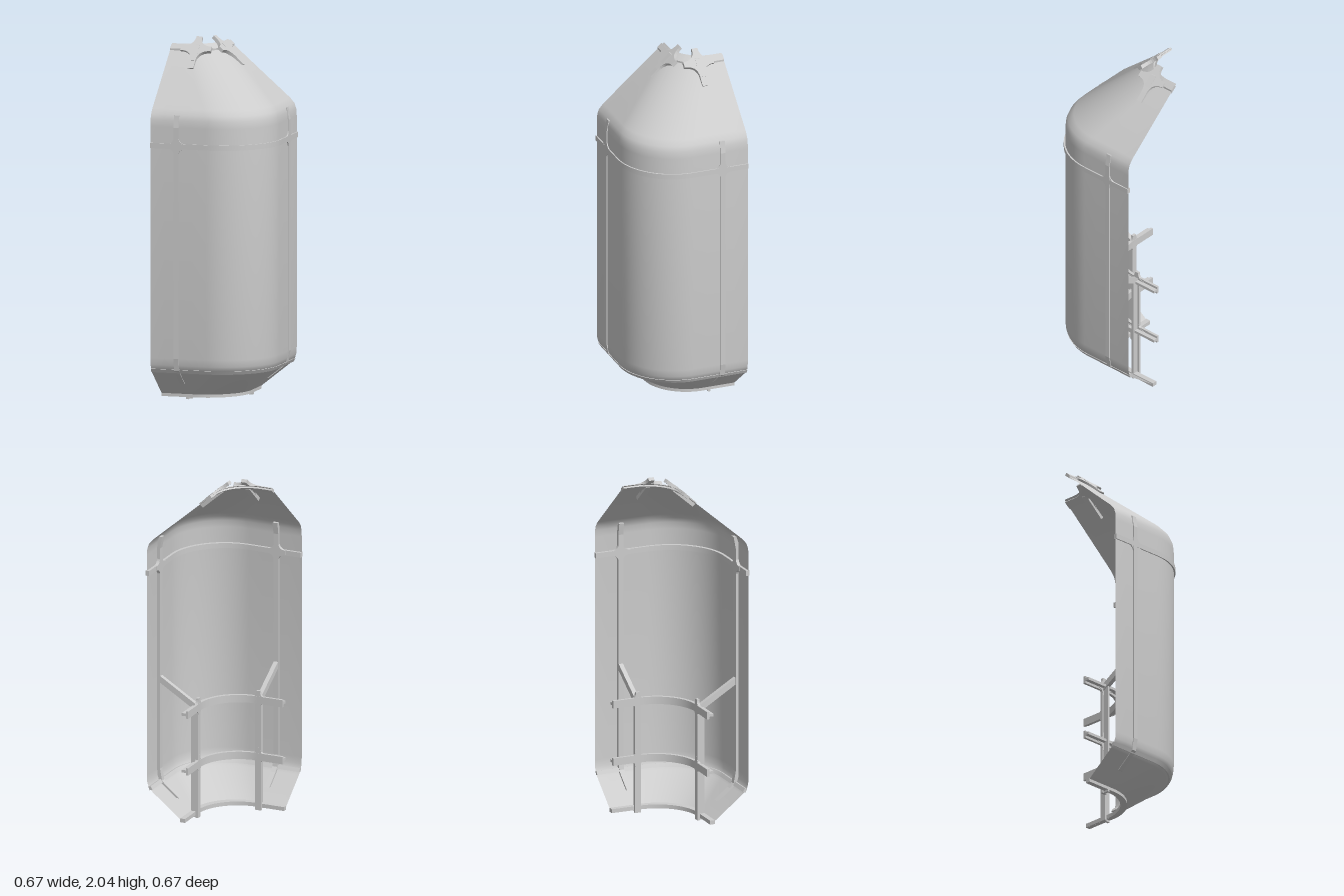
import * as THREE from 'three';
import { toCreasedNormals } from 'three/addons/utils/BufferGeometryUtils.js';

const E = 0.333; // half the plan size
const DEPTH = 0.415; // largest inset, reached at the top edge
const metal = new THREE.MeshStandardMaterial({ color: 0xcccccc, side: THREE.DoubleSide });

// Plan outline of the corner at inset d: leg, quarter arc, leg
function outline(d) {
  const c = -0.27 * d / DEPTH, r = E - d - c, pts = [];
  for (let i = 0; i < 4; i++) pts.push([E - d, -E + (c + E) * i / 4]);
  for (let i = 0; i <= 32; i++) {
    const a = i / 32 * Math.PI / 2;
    pts.push([c + r * Math.cos(a), c + r * Math.sin(a)]);
  }
  for (let i = 3; i >= 0; i--) pts.push([-E + (c + E) * i / 4, E - d]);
  return pts;
}

// Sweep a profile of [inset, y] points round the corner
function sweep(profile, closed, crease) {
  const rows = profile.map(([d]) => outline(d));
  const n = profile.length, m = rows[0].length, pos = [], idx = [];
  for (let i = 0; i < m; i++)
    for (let j = 0; j < n; j++) pos.push(rows[j][i][0], profile[j][1], rows[j][i][1]);
  for (let i = 0; i < m - 1; i++)
    for (let j = 0; j < (closed ? n : n - 1); j++) {
      const a = i * n + j, b = i * n + (j + 1) % n;
      idx.push(a, b, a + n, b, b + n, a + n);
    }
  if (closed) {
    const caps = THREE.ShapeUtils.triangulateShape(profile.map(([x, y]) => new THREE.Vector2(x, y)), []);
    const last = (m - 1) * n;
    for (const [a, b, c] of caps) idx.push(a, b, c, last + a, last + c, last + b);
  }
  const g = new THREE.BufferGeometry();
  g.setAttribute('position', new THREE.Float32BufferAttribute(pos, 3));
  g.setIndex(idx);
  return toCreasedNormals(g, crease);
}

// Outline in x and y, extruded evenly about z = 0
function plate(points, width) {
  const shape = new THREE.Shape(points.map(([x, y]) => new THREE.Vector2(x, y)));
  const g = new THREE.ExtrudeGeometry(shape, { depth: width, bevelEnabled: false });
  return g.translate(0, 0, -width / 2);
}

// Strip following a [inset, y] path, offset outwards and inwards
function strip(path, out, inn, width) {
  const side = (o) => path.map(([d, y]) => [E - d + o, y]);
  return plate([...side(out), ...side(-inn).reverse()], width);
}

// Four-armed plate with curved fillets, facing x
function cross(size, half, thick) {
  const s = new THREE.Shape();
  s.moveTo(size, half);
  for (const [x, y] of [[0, 1], [-1, 0], [0, -1], [1, 0]]) {
    const px = y, py = -x; // previous arm direction
    s.quadraticCurveTo((x + px) * half, (y + py) * half, x * size + px * half, y * size + py * half);
    s.lineTo(x * size - px * half, y * size - py * half);
  }
  s.closePath();
  const g = new THREE.ExtrudeGeometry(s, { depth: thick, bevelEnabled: false, curveSegments: 8 });
  return g.translate(0, 0, -thick / 2).rotateY(Math.PI / 2);
}

export function createModel() {
  const model = new THREE.Group();
  const add = (parent, name, geometry, x = 0, y = 0, z = 0) => {
    const mesh = new THREE.Mesh(geometry, metal);
    mesh.name = name;
    mesh.position.set(x, y, z);
    parent.add(mesh);
    return mesh;
  };

  // Thin curved wall with sloping foot and roof
  const wall = [
    [0.24, 0.01], [0.045, 0.165], [0.02, 0.19], [0.01, 0.22], [0.007, 0.26],
    [0.007, 1.58], [0.01, 1.62], [0.02, 1.65], [0.045, 1.68], [DEPTH, 2.0],
  ];
  add(model, 'wallShell', sweep(wall, false, 1));

  // Horizontal band round the wall, and the rail along the roof edge
  const box = (d0, d1, y0, y1) => [[d0, y0], [d0, y1], [d1, y1], [d1, y0]];
  add(model, 'wallBand', sweep(box(0, 0.022, 1.458, 1.488), true, 0.6));
  add(model, 'footCrease', sweep([[0.025, 0.175], [0.015, 0.195], [0.03, 0.2], [0.042, 0.18]], true, 0.6));
  add(model, 'roofEdgeRail', sweep([[0.375, 1.955], [0.375, 1.976], [0.4, 1.998], [0.412, 1.985]], true, 0.6));

  // T-section rails of the inner frame
  for (const y of [0.32, 0.66]) {
    add(model, 'innerRail', sweep([
      [0.225, y - 0.008], [0.225, y + 0.008], [0.25, y + 0.008], [0.25, y + 0.022],
      [0.265, y + 0.022], [0.265, y - 0.022], [0.25, y - 0.022], [0.25, y - 0.008],
    ], true, 0.6));
  }
  add(model, 'footRail', sweep(box(0.215, 0.245, 0.012, 0.035), true, 0.6));

  // Ribs and frame members, repeated on both legs
  for (const leg of [0, 1]) {
    const frame = new THREE.Group();
    frame.name = leg ? 'frontLegFrame' : 'sideLegFrame';
    frame.position.set(leg ? -0.18 : 0, 0, leg ? 0 : -0.18);
    frame.rotation.y = leg ? -Math.PI / 2 : 0;
    model.add(frame);

    add(frame, 'wallRib', strip([
      [0.127, 0.1], [0.045, 0.165], [0.02, 0.19], [0.007, 0.26], [0.007, 1.58], [0.02, 1.65],
    ], 0.007, 0.018, 0.03));
    add(frame, 'wallJoint', cross(0.06, 0.013, 0.024), 0.32, 1.473);

    // Strut and joint lying on the roof slope
    add(frame, 'roofStrut', plate([[-0.08, 1.97], [-0.08, 2], [-0.06, 2], [0.065, 1.885], [0.04, 1.865]], 0.035));
    const joint = add(frame, 'roofJoint', cross(0.09, 0.017, 0.02), -0.05, 1.975);
    joint.rotation.z = 0.86;

    // T-section post standing on the foot edge, tied back by a brace
    add(frame, 'postWeb', new THREE.BoxGeometry(0.035, 0.66, 0.014), 0.1, 0.33);
    add(frame, 'postFlange', new THREE.BoxGeometry(0.014, 0.66, 0.036), 0.077, 0.33);
    for (const y of [0.32, 0.66]) add(frame, 'postJoint', cross(0.055, 0.012, 0.016), 0.077, y);
    add(frame, 'brace', plate([[0.08, 0.635], [0.08, 0.675], [0.325, 0.825], [0.325, 0.785]], 0.026));
  }
  return model;
}
